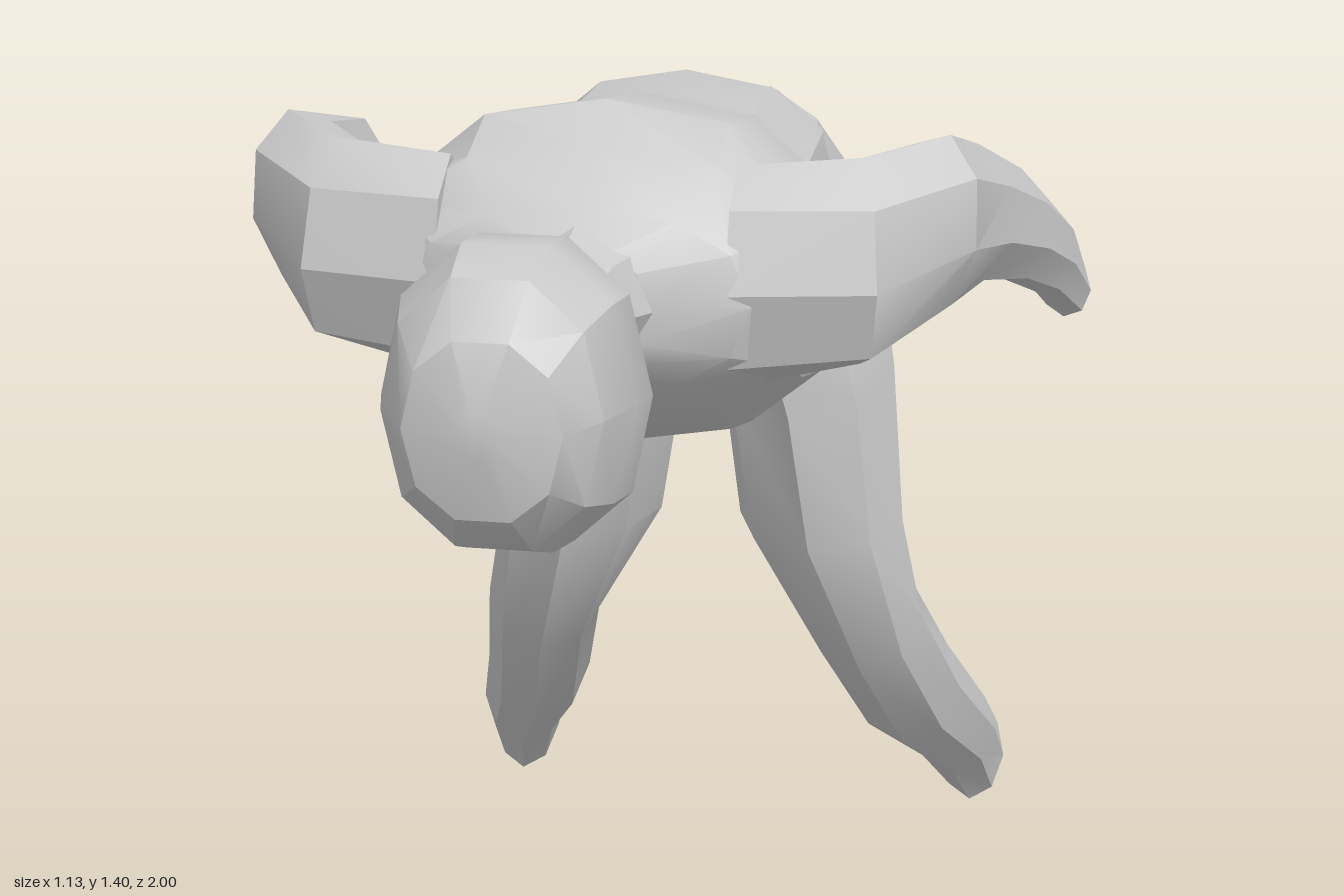
import * as THREE from 'three';
import { toCreasedNormals } from 'three/addons/utils/BufferGeometryUtils.js';

const V = (x, y, z) => new THREE.Vector3(x, y, z);

// Cross-section from a centre and two half-axis vectors; power < 1 makes it boxier
function section(c, a, b, sides = 8, power = 1) {
  const soft = (v) => Math.sign(v) * Math.pow(Math.abs(v), power);
  return Array.from({ length: sides }, (_, i) => {
    const t = (i / sides) * Math.PI * 2;
    return c.clone().addScaledVector(a, soft(Math.cos(t))).addScaledVector(b, soft(Math.sin(t)));
  });
}

// Cross-section spanning x0..x1 and reaching from point p to point q, both [y, z]
function span(x0, x1, p, q, sides, power) {
  const c = V((x0 + x1) / 2, (p[0] + q[0]) / 2, (p[1] + q[1]) / 2);
  return section(c, V((x1 - x0) / 2, 0, 0), V(0, (q[0] - p[0]) / 2, (q[1] - p[1]) / 2), sides, power);
}

// Closed skin over a row of cross-sections
function loft(name, rings, mirror = 1) {
  const tris = [];
  const n = rings[0].length;
  for (let r = 0; r < rings.length - 1; r++) {
    for (let i = 0; i < n; i++) {
      const j = (i + 1) % n;
      const [a, b, c, d] = [rings[r][i], rings[r][j], rings[r + 1][j], rings[r + 1][i]];
      tris.push([a, b, c], [a, c, d]);
    }
  }
  const middle = (ring) => ring.reduce((s, p) => s.add(p), V(0, 0, 0)).divideScalar(n);
  const first = rings[0], last = rings[rings.length - 1];
  const m0 = middle(first), m1 = middle(last);
  for (let i = 0; i < n; i++) {
    const j = (i + 1) % n;
    tris.push([m0, first[j], first[i]], [m1, last[i], last[j]]);
  }
  // The signed volume tells whether the faces point outward
  const volume = tris.reduce((s, [a, b, c]) => s + a.dot(b.clone().cross(c)), 0);
  const flip = volume * mirror < 0;
  const pos = [];
  for (const [a, b, c] of tris) {
    for (const p of flip ? [a, c, b] : [a, b, c]) pos.push(p.x * mirror, p.y, p.z);
  }
  const geo = new THREE.BufferGeometry();
  geo.setAttribute('position', new THREE.Float32BufferAttribute(pos, 3));
  const mesh = new THREE.Mesh(
    toCreasedNormals(geo, 0.5),
    new THREE.MeshStandardMaterial({ color: 0xcccccc })
  );
  mesh.name = name;
  return mesh;
}

export function createModel() {
  const model = new THREE.Group();
  model.name = 'bendingFigure';

  // Torso, neck end to hips: half width, underside [y, z], back [y, z]
  const torso = [
    [0.09, [1.11, 0.5], [1.27, 0.5]],
    [0.21, [1.07, 0.45], [1.3, 0.45]],
    [0.28, [1.02, 0.38], [1.36, 0.38]],
    [0.28, [0.945, 0.25], [1.4, 0.28]],
    [0.285, [0.91, 0.1], [1.37, 0.1]],
    [0.245, [0.9, 0.02], [1.35, 0.0]],
    [0.225, [0.93, -0.13], [1.325, -0.13]],
    [0.22, [0.96, -0.29], [1.325, -0.3]],
    [0.2, [1.0, -0.32], [1.29, -0.44]],
  ];
  model.add(loft('torso', torso.map(([w, p, q]) => span(-w, w, p, q, 12, 0.85))));

  // Neck
  const neck = [
    [0.13, [1.08, 0.44], [1.29, 0.44]],
    [0.08, [1.1, 0.53], [1.275, 0.53]],
    [0.08, [1.1, 0.66], [1.27, 0.66]],
  ];
  model.add(loft('neck', neck.map(([w, p, q]) => span(-w, w, p, q))));

  // Head, jaw to crown
  const head = [
    [0.085, [0.98, 0.58], [1.27, 0.63]],
    [0.12, [0.97, 0.63], [1.31, 0.7]],
    [0.145, [0.965, 0.73], [1.35, 0.76]],
    [0.145, [0.99, 0.85], [1.36, 0.85]],
    [0.125, [1.02, 0.93], [1.34, 0.93]],
    [0.09, [1.07, 0.98], [1.28, 0.98]],
    [0.02, [1.15, 1.0], [1.2, 1.0]],
  ];
  model.add(loft('head', head.map(([w, p, q]) => span(-w, w, p, q, 10, 0.9))));

  // Arm, shoulder to wrist: centre and two half axes
  const arm = [
    [V(0.18, 1.2, 0.36), V(0, 0, 0.1), V(0, 0.14, 0)],
    [V(0.33, 1.22, 0.335), V(0.03, -0.02, 0.085), V(0, 0.13, 0)],
    [V(0.405, 1.245, 0.23), V(0.06, -0.02, 0.04), V(0.02, 0.115, 0)],
    [V(0.42, 1.215, 0.02), V(0.07, -0.04, 0), V(0.02, 0.085, -0.02)],
    [V(0.465, 1.15, -0.2), V(0.06, -0.035, 0), V(0.015, 0.068, -0.03)],
    [V(0.505, 1.07, -0.38), V(0.045, -0.02, 0), V(0.01, 0.055, -0.03)],
    [V(0.528, 0.98, -0.525), V(0.037, -0.005, 0), V(0, 0.04, -0.025)],
  ].map(([c, a, b]) => section(c, a, b));

  // Leg, hip to ankle: inner x, outer x, front [y, z], back [y, z]
  const leg = [
    [0.0, 0.2, [1.0, -0.3], [1.28, -0.43]],
    [0.02, 0.265, [0.89, -0.25], [1.11, -0.67]],
    [0.025, 0.285, [0.83, -0.27], [0.9, -0.65]],
    [0.06, 0.305, [0.62, -0.3], [0.64, -0.585]],
    [0.16, 0.335, [0.39, -0.43], [0.55, -0.51]],
    [0.215, 0.38, [0.2, -0.62], [0.38, -0.68]],
    [0.29, 0.425, [0.09, -0.79], [0.23, -0.83]],
    [0.33, 0.43, [0.0, -0.89], [0.12, -1.0]],
  ].map((r) => span(...r));

  for (const [side, m] of [['left', 1], ['right', -1]]) {
    model.add(loft(side + 'Arm', arm, m), loft(side + 'Leg', leg, m));
  }
  return model;
}
